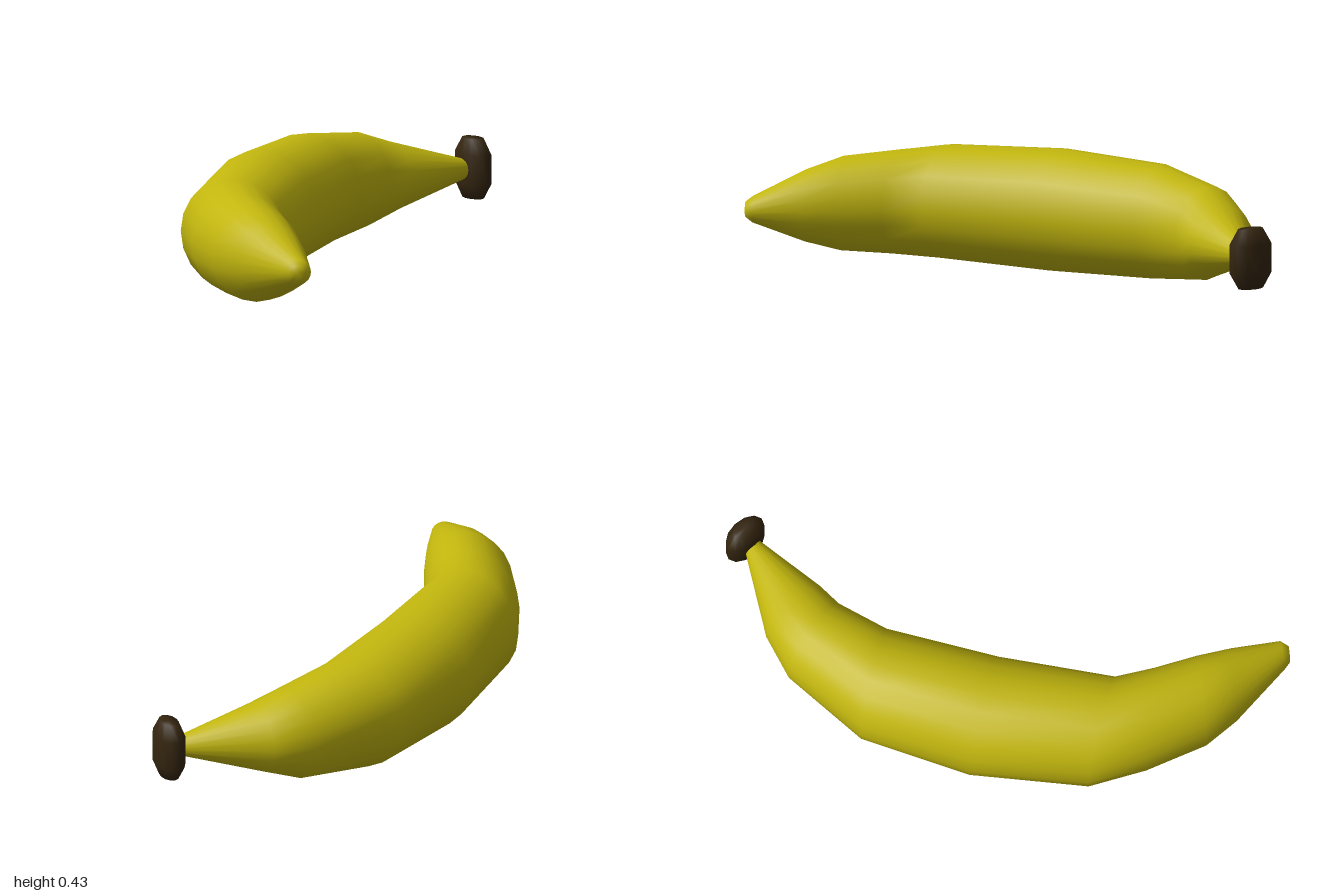
import * as THREE from 'three';

const SIDES = 20;
const MID_Y = 0.215;

// Cross-sections from stem to tip: outer x, z, inner x, z, half height
const SECTIONS = [
  [0.22, -0.925, 0.275, -0.89, 0.035],
  [-0.06, -0.78, 0.16, -0.64, 0.12],
  [-0.175, -0.675, 0.11, -0.56, 0.165],
  [-0.33, -0.375, 0.06, -0.38, 0.2],
  [-0.365, 0.02, 0.055, 0.02, 0.214],
  [-0.305, 0.43, 0.085, 0.43, 0.199],
  [-0.2, 0.61, 0.15, 0.55, 0.182],
  [-0.06, 0.79, 0.23, 0.68, 0.165],
  [0.05, 0.87, 0.29, 0.79, 0.127],
  [0.27, 0.985, 0.362, 0.945, 0.046],
  [0.3, 0.997, 0.352, 0.978, 0.027],
];

// Skin lofted through the oval sections, closed by a centre point at each end
function loft(sections) {
  const positions = [];
  const index = [];
  for (const [ox, oz, ix, iz, h] of sections) {
    for (let j = 0; j < SIDES; j++) {
      const a = (j / SIDES) * Math.PI * 2;
      const t = (1 + Math.cos(a)) / 2;
      positions.push(ox + (ix - ox) * t, MID_Y + h * Math.sin(a), oz + (iz - oz) * t);
    }
  }
  const last = sections.length - 1;
  for (const k of [0, last]) {
    const [ox, oz, ix, iz] = sections[k];
    positions.push((ox + ix) / 2, MID_Y, (oz + iz) / 2);
  }
  const startCentre = sections.length * SIDES;
  for (let j = 0; j < SIDES; j++) {
    const n = (j + 1) % SIDES;
    for (let i = 0; i < last; i++) {
      const a = i * SIDES + j, b = i * SIDES + n;
      index.push(a, b, a + SIDES, b, b + SIDES, a + SIDES);
    }
    index.push(startCentre, n, j);
    index.push(startCentre + 1, last * SIDES + j, last * SIDES + n);
  }
  const geometry = new THREE.BufferGeometry();
  geometry.setAttribute('position', new THREE.Float32BufferAttribute(positions, 3));
  geometry.setIndex(index);
  geometry.computeVertexNormals();
  return geometry;
}

export function createModel() {
  const yellow = new THREE.MeshStandardMaterial({ color: 0xc2b60e });
  yellow.name = 'banana yellow';
  const brown = new THREE.MeshStandardMaterial({ color: 0x34250f });
  brown.name = 'stem brown';

  const group = new THREE.Group();
  group.name = 'banana';

  const peel = new THREE.Mesh(loft(SECTIONS), yellow);
  peel.name = 'peel';
  group.add(peel);

  // Upright chamfered oval at the cut end
  const profile = [[0, -0.105], [0.6, -0.105], [1, -0.052], [1, 0.052], [0.6, 0.105], [0, 0.105]]
    .map(([r, y]) => new THREE.Vector2(r, y));
  const stemGeometry = new THREE.LatheGeometry(profile, 12);
  stemGeometry.scale(0.08, 1, 0.05);
  const stem = new THREE.Mesh(stemGeometry, brown);
  stem.name = 'stemEnd';
  stem.position.set(0.271, MID_Y, -0.94);
  stem.rotation.y = -0.54;
  group.add(stem);

  return group;
}
